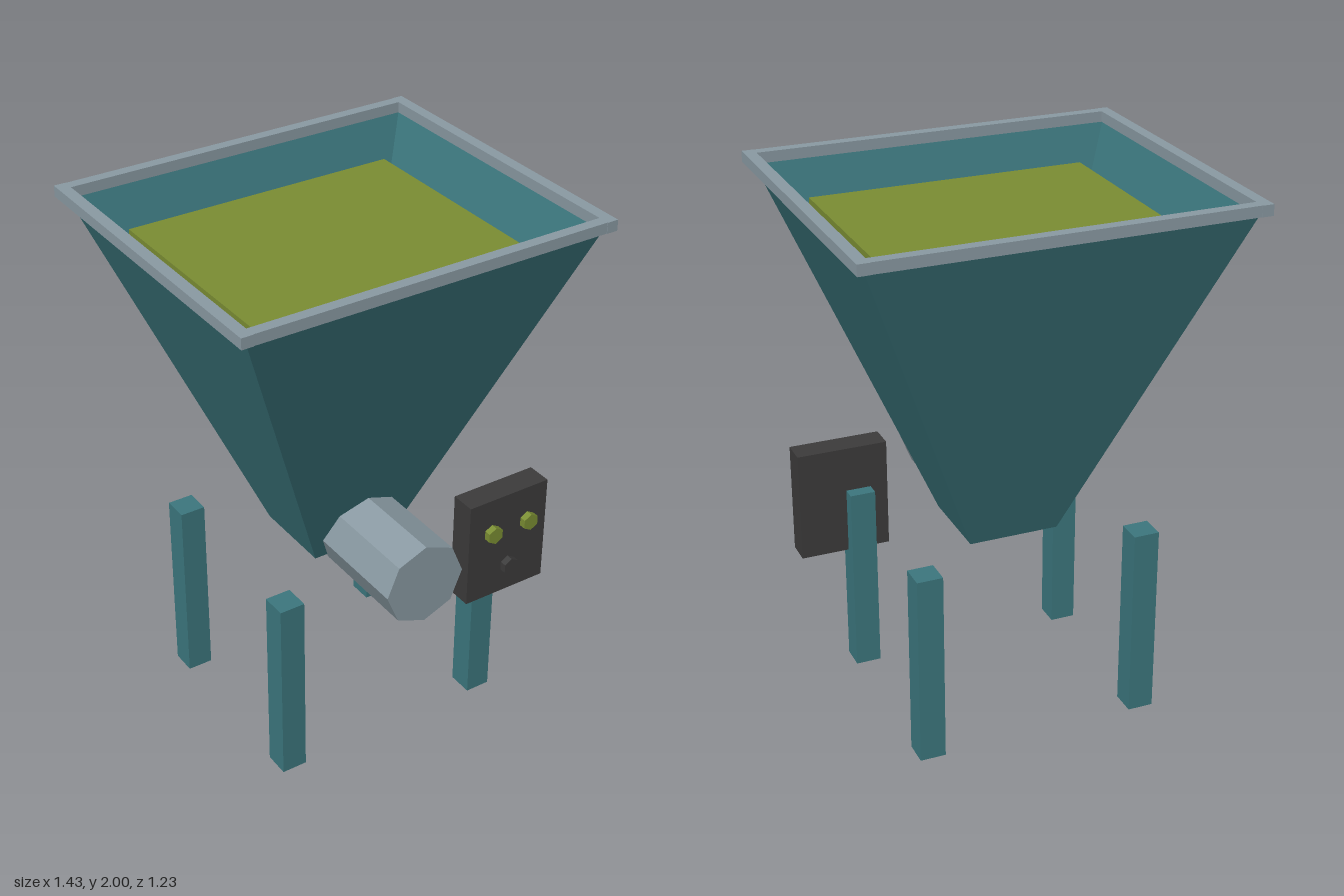
import * as THREE from 'three';

export function createModel() {
  const model = new THREE.Group();
  model.name = 'feedHopper';

  const paint = (name, color) => {
    const m = new THREE.MeshStandardMaterial({ color });
    m.name = name;
    return m;
  };
  const teal = paint('tealPaint', 0x3c777e);
  teal.side = THREE.DoubleSide; // the funnel is open sheet metal
  const grey = paint('greyMetal', 0x8a9aa3);
  const dark = paint('darkPlastic', 0x3c3b3b);
  const olive = paint('oliveGreen', 0x7b8e33);

  const add = (name, geometry, material, x = 0, y = 0, z = 0) => {
    const mesh = new THREE.Mesh(geometry, material);
    mesh.name = name;
    mesh.position.set(x, y, z);
    model.add(mesh);
    return mesh;
  };

  // Faceted prism lying along z, with a corner pointing up
  const prism = (radius, length, sides) => {
    const g = new THREE.CylinderGeometry(radius, radius, length, sides).toNonIndexed();
    g.rotateX(Math.PI / 2);
    g.computeVertexNormals();
    return g;
  };

  // Funnel: four sloping sheets, open at top and bottom
  const ring = (hx, y, hz) => [[-hx, y, hz], [hx, y, hz], [hx, y, -hz], [-hx, y, -hz]];
  const low = ring(0.169, 0.7, 0.157);
  const high = ring(0.689, 1.98, 0.594);
  const points = [];
  for (let i = 0; i < 4; i++) {
    const j = (i + 1) % 4;
    points.push(...low[i], ...low[j], ...high[j], ...low[i], ...high[j], ...high[i]);
  }
  const funnel = new THREE.BufferGeometry();
  funnel.setAttribute('position', new THREE.Float32BufferAttribute(points, 3));
  funnel.computeVertexNormals();
  add('funnel', funnel, teal);

  // Contents filling the funnel
  add('contents', new THREE.BoxGeometry(1.05, 0.04, 0.904), olive, 0, 1.835, 0);

  // Rim bars around the top
  for (const s of [-1, 1]) {
    add('rimSide', new THREE.BoxGeometry(0.043, 0.04, 1.234), grey, s * 0.6915, 1.98, 0);
    add('rimEnd', new THREE.BoxGeometry(1.34, 0.04, 0.041), grey, 0, 1.98, s * 0.5945);
  }

  // Four legs
  for (const x of [-0.415, 0.415]) {
    for (const z of [-0.347, 0.347]) {
      add('leg', new THREE.BoxGeometry(0.096, 0.733, 0.096), teal, x, 0.3665, z);
    }
  }

  // Motor
  add('motor', prism(0.157, 0.442, 8), grey, 0, 0.794, 0.374);

  // Control box with its buttons
  add('controlBox', new THREE.BoxGeometry(0.345, 0.424, 0.097), dark, 0.473, 0.694, 0.398);
  const button = prism(0.034, 0.026, 6);
  add('leftIndicator', button, olive, 0.552, 0.774, 0.469);
  add('rightIndicator', button, olive, 0.393, 0.774, 0.469);
  add('stopButton', button, dark, 0.473, 0.606, 0.469);

  return model;
}
